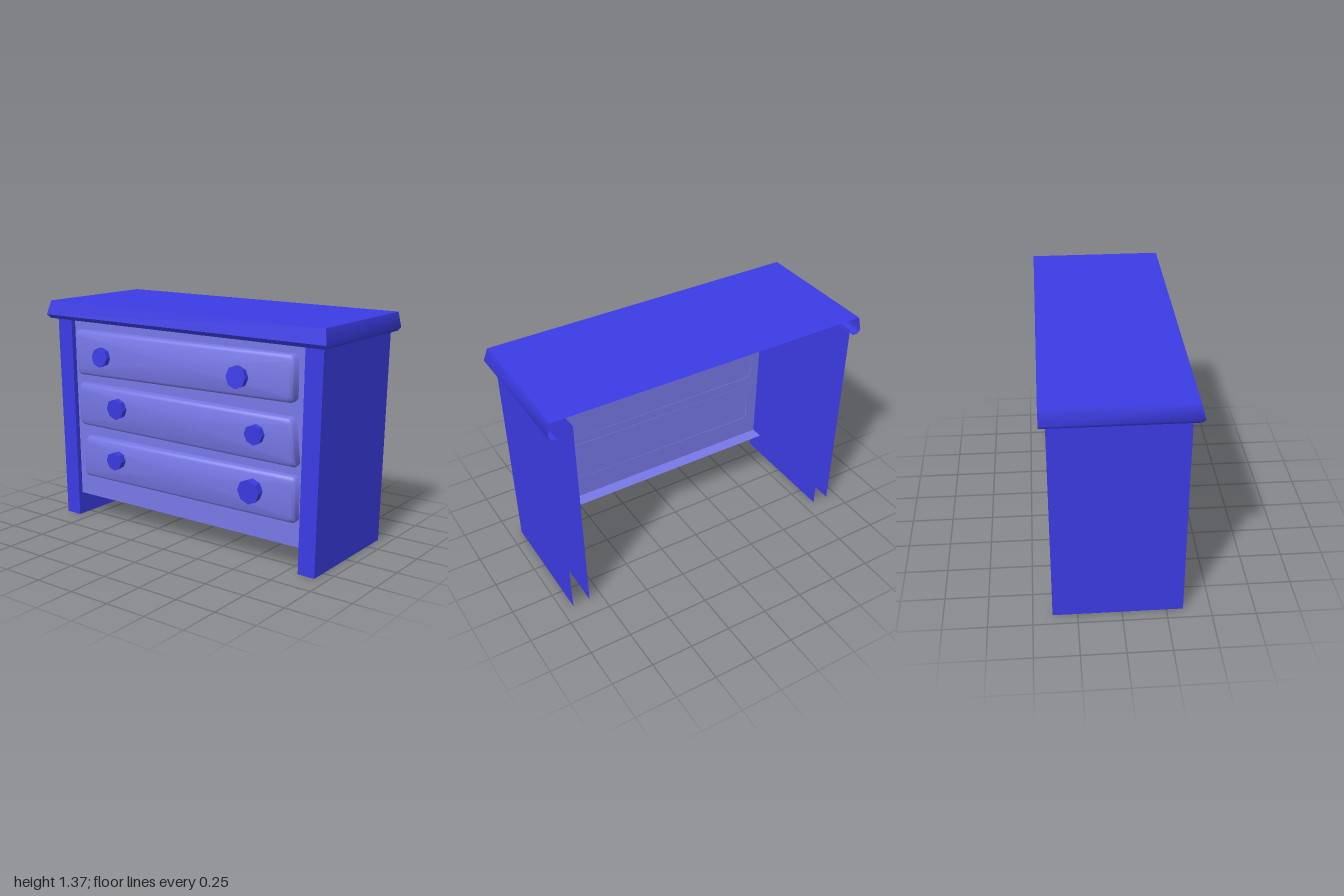
import * as THREE from 'three';
import { toCreasedNormals } from 'three/addons/utils/BufferGeometryUtils.js';

const bodyMat = new THREE.MeshStandardMaterial({ color: 0x3c3ce6, side: THREE.DoubleSide });
const frontMat = new THREE.MeshStandardMaterial({ color: 0x7878e8, side: THREE.DoubleSide });

// Skin between rows of points; each row has the same number of [x, y, z]
function sheet(name, rows, material, crease = 0.3) {
  const pos = [];
  for (let i = 0; i + 1 < rows.length; i++) {
    for (let j = 0; j + 1 < rows[i].length; j++) {
      const a = rows[i][j], b = rows[i][j + 1], c = rows[i + 1][j + 1], d = rows[i + 1][j];
      pos.push(...a, ...b, ...c);
      if (c !== d) pos.push(...a, ...c, ...d);
    }
  }
  const geo = new THREE.BufferGeometry();
  geo.setAttribute('position', new THREE.Float32BufferAttribute(pos, 3));
  geo.computeVertexNormals();
  const mesh = new THREE.Mesh(toCreasedNormals(geo, crease), material);
  mesh.name = name;
  return mesh;
}

// Soft-edged drawer front from four corners, counter-clockwise from bottom left
function drawer(corners, zBottom, zTop) {
  const cx = corners.reduce((s, p) => s + p[0], 0) / 4;
  const cy = corners.reduce((s, p) => s + p[1], 0) / 4;
  const outline = [];
  corners.forEach((p, i) => {
    // clip each corner a little
    for (const q of [corners[(i + 3) % 4], corners[(i + 1) % 4]]) {
      const t = 0.018 / Math.hypot(q[0] - p[0], q[1] - p[1]);
      outline.push([p[0] + (q[0] - p[0]) * t, p[1] + (q[1] - p[1]) * t]);
    }
  });
  outline.push(outline[0]);
  const zAt = (y) => THREE.MathUtils.mapLinear(y, cy - 0.135, cy + 0.135, zBottom, zTop);
  const ring = (inset, back) => outline.map(([x, y]) => [
    x - Math.sign(x - cx) * inset, y - Math.sign(y - cy) * inset, back === null ? 0.312 : zAt(y) - back]);
  const centre = [cx, cy, zAt(cy)];
  const rows = [ring(0, null), ring(0, 0.025), ring(0.006, 0.009), ring(0.02, 0), outline.map(() => centre)];
  return sheet('drawerFront', rows, frontMat, 1.0);
}

// Eight-sided knob, slightly tilted
function knob(x, y, z, r, tilt) {
  const geo = new THREE.CylinderGeometry(r, r * 0.9, 0.06, 8).rotateX(Math.PI / 2);
  const mesh = new THREE.Mesh(geo, new THREE.MeshStandardMaterial({ color: 0x3c3ce6, flatShading: true }));
  mesh.name = 'knob';
  mesh.position.set(x, y, z);
  mesh.rotation.x = tilt;
  return mesh;
}

export function createModel() {
  const group = new THREE.Group();
  const back = -0.39, front = 0.345;

  // Tapered side walls: open channels of outer wall, front post and inner wall
  for (const side of [1, -1]) {
    const row = (y, outer, inner) => {
      const p = [[inner, y, back], [inner, y, front], [outer, y, front], [outer, y, back]]
        .map(([x, yy, z]) => [side * x, yy, z]);
      return side > 0 ? p : p.reverse();
    };
    group.add(sheet(side > 0 ? 'leftSide' : 'rightSide',
      [row(0, 0.93, 0.825), row(1.275, 0.955, 0.843)], bodyMat));
  }

  // Recessed front panel with flanges turned back at both ends
  const across = (x, y, z) => [[-x, y, z], [x, y, z]];
  group.add(sheet('frontPanel', [
    across(0.827, 0.14, 0.235), across(0.827, 0.14, 0.315),
    across(0.843, 1.265, 0.315), across(0.843, 1.265, 0.235)], frontMat));

  // Top board with a flared lip on three sides, open at the back
  const topBack = -0.425;
  const lip = (x, y, z) => [[-x, y, topBack], [-x, y, z], [x, y, z], [x, y, topBack]];
  group.add(sheet('topLip', [
    lip(0.95, 1.262, 0.343), lip(0.982, 1.262, 0.382),
    lip(1.0, 1.285, 0.4), lip(0.98, 1.37, 0.378)], bodyMat, 0.9));
  group.add(sheet('topBoard', [across(0.98, 1.37, 0.378), across(0.98, 1.37, topBack)], bodyMat));

  // Crooked drawers, each with two knobs [x, radius]
  const drawers = [
    { corners: [[-0.765, 0.93], [0.79, 0.955], [0.785, 1.21], [-0.795, 1.205]],
      z: [0.385, 0.375], y: 1.06, knobZ: 0.387, tilt: -0.08, knobs: [[-0.55, 0.06], [0.45, 0.065]] },
    { corners: [[-0.77, 0.61], [0.81, 0.603], [0.78, 0.87], [-0.77, 0.877]],
      z: [0.372, 0.382], y: 0.76, knobZ: 0.385, tilt: 0.08, knobs: [[-0.435, 0.064], [0.565, 0.058]] },
    { corners: [[-0.75, 0.28], [0.807, 0.287], [0.807, 0.55], [-0.735, 0.543]],
      z: [0.367, 0.372], y: 0.435, knobZ: 0.39, tilt: 0.07, knobs: [[-0.45, 0.057], [0.54, 0.071]] },
  ];
  for (const d of drawers) {
    const unit = new THREE.Group();
    unit.name = 'drawer';
    unit.add(drawer(d.corners, ...d.z));
    for (const [x, r] of d.knobs) unit.add(knob(x, d.y, d.knobZ, r, d.tilt));
    group.add(unit);
  }
  return group;
}
